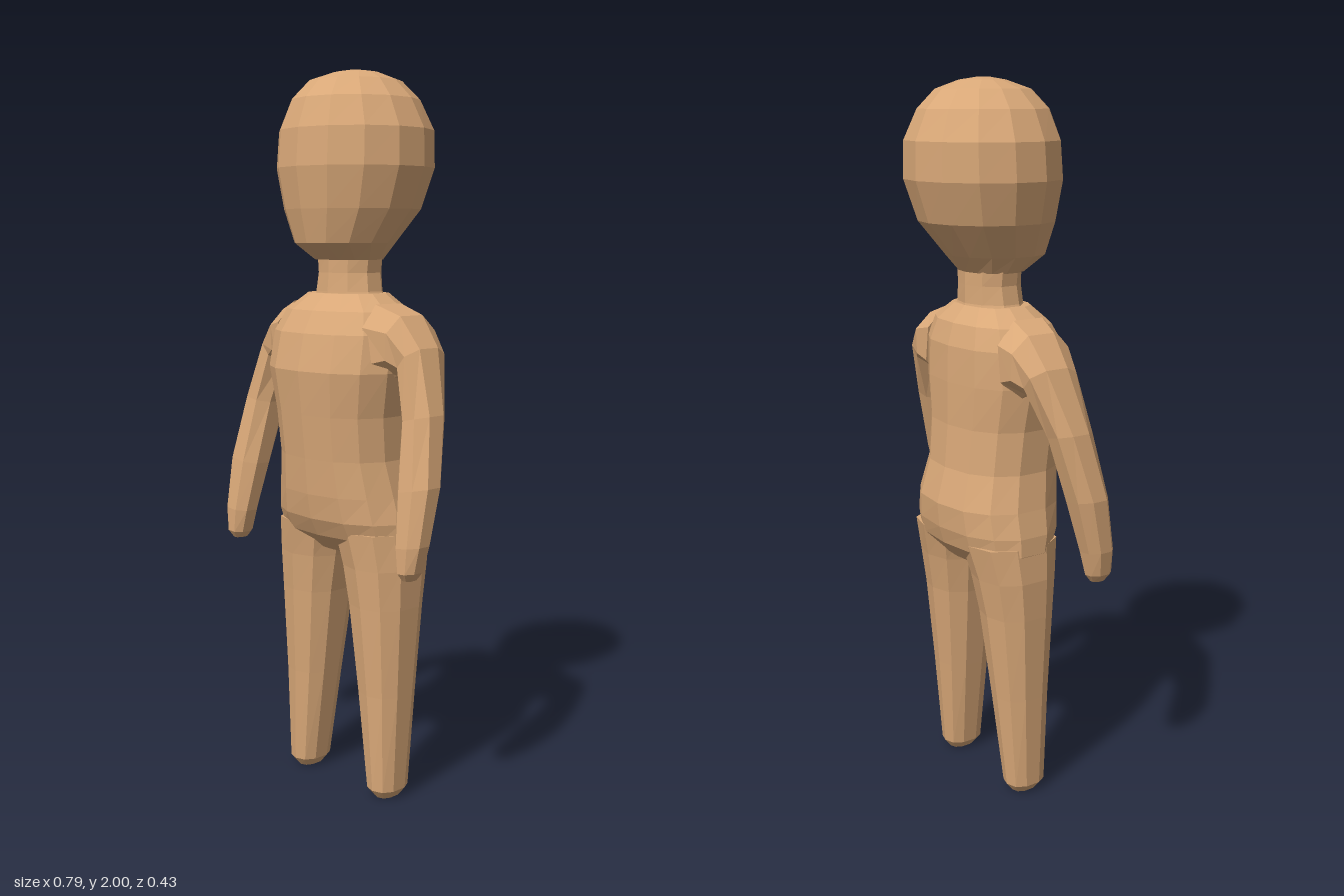
import * as THREE from 'three';

// Skins a stack of rings (listed bottom to top) with flat facets and closes both ends.
function loft(rings) {
  const pos = [];
  const tri = (...pts) => pts.forEach((p) => pos.push(p.x, p.y, p.z));
  const n = rings[0].length;
  for (let i = 0; i < rings.length - 1; i++) {
    for (let j = 0; j < n; j++) {
      const k = (j + 1) % n;
      const a = rings[i][j], b = rings[i][k], c = rings[i + 1][j], d = rings[i + 1][k];
      tri(a, c, b);
      tri(b, c, d);
    }
  }
  const centre = (r) => r.reduce((s, p) => s.add(p), new THREE.Vector3()).divideScalar(n);
  const first = rings[0], last = rings[rings.length - 1];
  const c0 = centre(first), c1 = centre(last);
  for (let j = 0; j < n; j++) {
    const k = (j + 1) % n;
    tri(c0, first[j], first[k]);
    tri(c1, last[k], last[j]);
  }
  const g = new THREE.BufferGeometry();
  g.setAttribute('position', new THREE.Float32BufferAttribute(pos, 3));
  g.computeVertexNormals();
  return g;
}

// Ring between two opposite points, with its own z range; low e makes it squarer.
function ring(ax, ay, bx, by, zFront, zBack, n, e = 1) {
  const pts = [];
  const soft = (v) => Math.sign(v) * Math.pow(Math.abs(v), e);
  for (let j = 0; j < n; j++) {
    const t = ((j + 0.5) / n) * Math.PI * 2;
    const grow = 1 / Math.cos(Math.PI / n);
    const c = soft(Math.cos(t)) * (e === 1 ? grow : 1.02), s = soft(Math.sin(t));
    pts.push(new THREE.Vector3(
      (ax + bx) / 2 + ((ax - bx) / 2) * c,
      (ay + by) / 2 + ((ay - by) / 2) * c,
      (zFront + zBack) / 2 + ((zFront - zBack) / 2) * s,
    ));
  }
  return pts;
}

export function createModel() {
  const model = new THREE.Group();
  model.name = 'figure';
  const skin = new THREE.MeshStandardMaterial({ color: 0xd9a878, flatShading: true });
  const add = (name, rings) => {
    const mesh = new THREE.Mesh(loft(rings), skin);
    mesh.name = name;
    model.add(mesh);
  };
  // Symmetric body rings: y, half width, front z, back z
  const stack = (rows, n, e) => rows.map(([y, w, f, b]) => ring(w, y, -w, y, f, b, n, e));

  // Head: narrow jaw, round skull
  add('head', stack([
    [1.495, 0.1, 0.11, -0.06],
    [1.54, 0.135, 0.18, -0.1],
    [1.63, 0.185, 0.2, -0.175],
    [1.74, 0.215, 0.215, -0.213],
    [1.84, 0.21, 0.207, -0.212],
    [1.92, 0.172, 0.178, -0.177],
    [1.97, 0.122, 0.13, -0.13],
    [1.993, 0.065, 0.06, -0.065],
    [2.0, 0.02, 0.02, -0.02],
  ], 14, 1));

  // Neck
  add('neck', stack([
    [1.37, 0.12, 0.11, -0.07],
    [1.41, 0.1, 0.105, -0.06],
    [1.46, 0.092, 0.1, -0.06],
    [1.52, 0.1, 0.1, -0.06],
  ], 10, 1));

  // Torso: hips, waist, chest and shoulder slope
  add('torso', stack([
    [0.69, 0.15, 0.09, -0.09],
    [0.74, 0.231, 0.145, -0.135],
    [0.79, 0.228, 0.17, -0.15],
    [0.86, 0.212, 0.182, -0.156],
    [0.96, 0.193, 0.19, -0.13],
    [1.08, 0.197, 0.202, -0.12],
    [1.2, 0.22, 0.214, -0.12],
    [1.3, 0.215, 0.192, -0.117],
    [1.36, 0.185, 0.16, -0.1],
    [1.405, 0.12, 0.115, -0.062],
  ], 14, 0.85));

  // Leg rings: y, inner x, outer x, front z, back z
  const leg = [
    [0.0, 0.135, 0.19, 0.07, -0.01],
    [0.025, 0.115, 0.209, 0.09, -0.03],
    [0.3, 0.078, 0.221, 0.1, -0.057],
    [0.55, 0.045, 0.232, 0.115, -0.085],
    [0.66, 0.025, 0.235, 0.125, -0.105],
    [0.76, 0.0, 0.228, 0.14, -0.13],
  ];
  // Arm rings: outer x, y, inner x, y, front z, back z
  const arm = [
    [0.362, 0.677, 0.332, 0.677, 0.16, 0.115],
    [0.379, 0.7, 0.318, 0.695, 0.175, 0.1],
    [0.393, 0.77, 0.303, 0.76, 0.175, 0.085],
    [0.398, 0.92, 0.284, 0.9, 0.155, 0.045],
    [0.365, 1.1, 0.268, 1.08, 0.12, -0.005],
    [0.302, 1.27, 0.242, 1.2, 0.105, -0.06],
    [0.235, 1.355, 0.225, 1.19, 0.12, -0.08],
    [0.16, 1.385, 0.19, 1.16, 0.145, -0.08],
  ];
  for (const [side, s] of [['left', 1], ['right', -1]]) {
    // The first point always lies on the +x side, so the facets keep facing outwards
    const sided = (ox, oy, ix, iy, f, b, n, e) => (s > 0
      ? ring(ox, oy, ix, iy, f, b, n, e)
      : ring(-ix, iy, -ox, oy, f, b, n, e));
    add(side + 'Leg', leg.map(([y, i, o, f, b]) => sided(o, y, i, y, f, b, 10, 0.85)));
    add(side + 'Arm', arm.map(([ox, oy, ix, iy, f, b]) => sided(ox, oy, ix, iy, f, b, 8, 0.9)));
  }
  return model;
}
